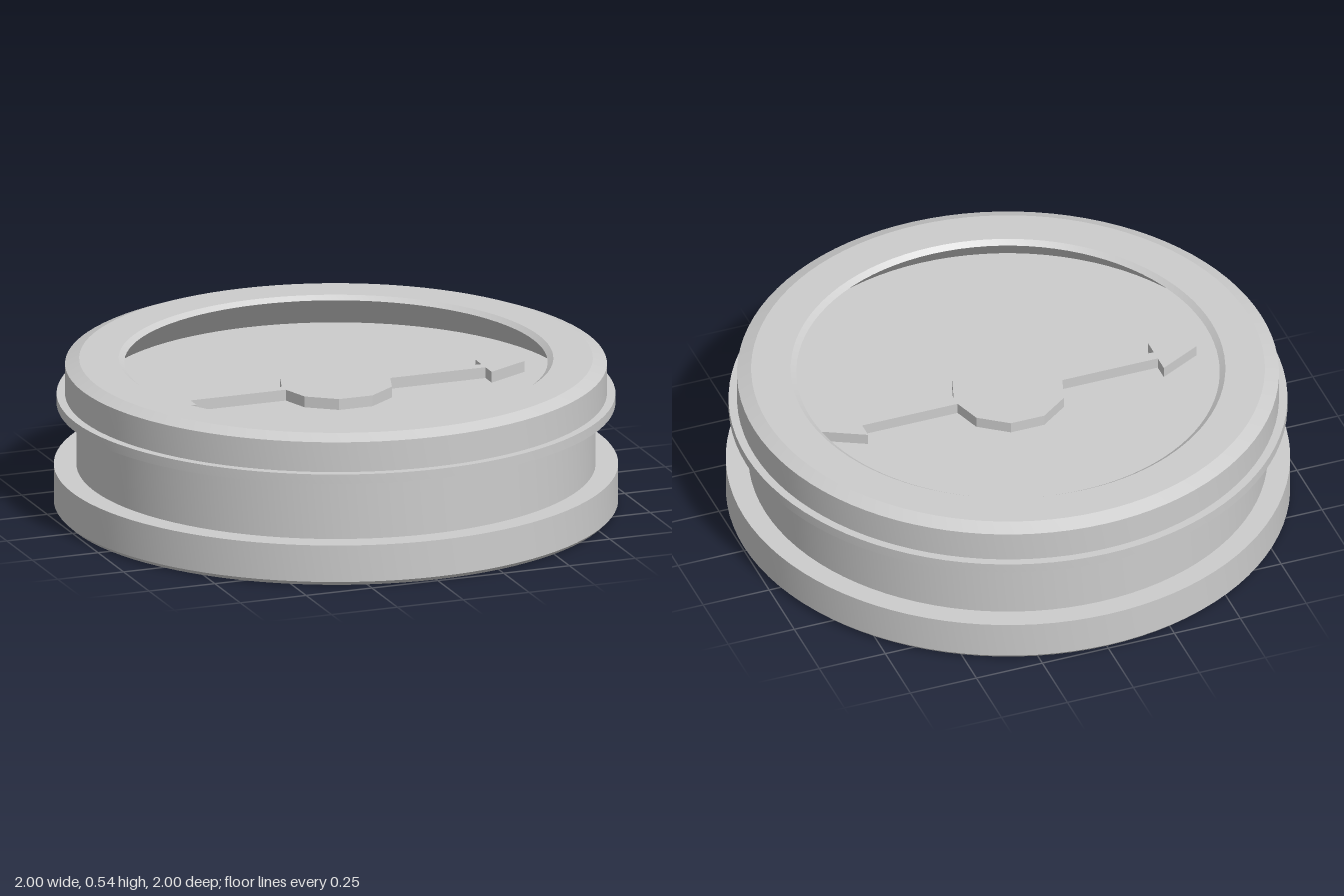
import * as THREE from 'three';
import { toCreasedNormals } from 'three/addons/utils/BufferGeometryUtils.js';

const FLOOR = 0.41; // height of the recessed dial face
const RELIEF = 0.04; // thickness of the raised hub and arrows

export function createModel() {
  const model = new THREE.Group();
  const grey = new THREE.MeshStandardMaterial({ color: 0xcccccc });
  grey.name = 'lightGrey';

  const add = (name, geometry) => {
    const mesh = new THREE.Mesh(geometry, grey);
    mesh.name = name;
    model.add(mesh);
    return mesh;
  };

  // Turned body: base, waist, thin flange, rim and undercut recess
  const profile = [
    [0, 0], [0.985, 0], [1, 0.015], [1, 0.15],
    [0.92, 0.15], [0.92, 0.375],
    [0.99, 0.375], [0.99, 0.41],
    [0.96, 0.41], [0.96, 0.52], [0.91, 0.54],
    [0.77, 0.54], [0.75, 0.525], [0.86, FLOOR], [0, FLOOR],
  ].map(([r, y]) => new THREE.Vector2(r, y));
  add('body', toCreasedNormals(new THREE.LatheGeometry(profile, 96), 0.3));

  // Ten-sided hub with corners on the x axis
  const hub = new THREE.CylinderGeometry(0.205, 0.205, RELIEF, 10);
  hub.rotateY(Math.PI / 2);
  hub.translate(0, FLOOR + RELIEF / 2, 0);
  add('hub', toCreasedNormals(hub, 0.3));

  // Two arrows pointing outward along x
  const outline = new THREE.Shape([
    [0.18, -0.02], [0.56, -0.02], [0.56, -0.08], [0.715, 0],
    [0.56, 0.08], [0.56, 0.02], [0.18, 0.02],
  ].map(([x, y]) => new THREE.Vector2(x, y)));
  const arrow = new THREE.ExtrudeGeometry(outline, { depth: RELIEF, bevelEnabled: false });
  arrow.rotateX(-Math.PI / 2);
  arrow.translate(0, FLOOR, 0);
  add('leftArrow', arrow);
  add('rightArrow', arrow).rotation.y = Math.PI;

  return model;
}
